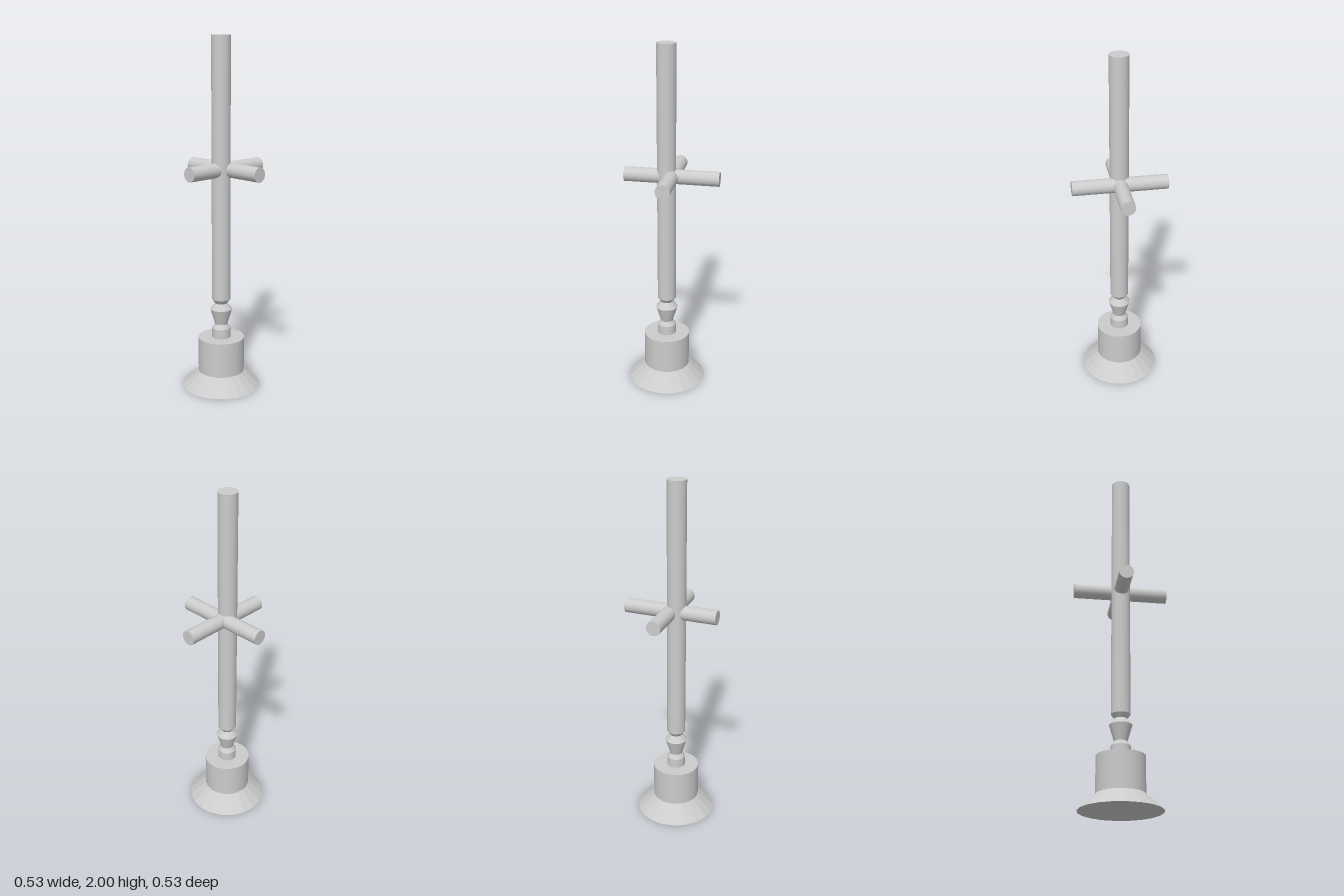
import * as THREE from 'three';

const smooth = new THREE.MeshStandardMaterial({ color: 0xcccccc });
const faceted = new THREE.MeshStandardMaterial({ color: 0xcccccc, flatShading: true });
const POLE_Z = 0.03;

export function createModel() {
  const model = new THREE.Group();

  // Upright section of the post, from y0 to y1, on the shared post axis
  function section(name, y0, r0, y1, r1, sides = 40, material = smooth, open = false) {
    const geometry = new THREE.CylinderGeometry(r1, r0, y1 - y0, sides, 1, open);
    const mesh = new THREE.Mesh(geometry, material);
    mesh.name = name;
    mesh.position.set(0, (y0 + y1) / 2, POLE_Z);
    model.add(mesh);
  }

  // Flared foot and drum
  section('flaredFoot', 0, 0.227, 0.088, 0.133, 20, faceted);
  section('baseDrum', 0.088, 0.133, 0.29, 0.133, 20);

  // Turned neck: collar, pinch, bulge, pinch, up to the pole (pairs of y, radius)
  const neck = [[0.29, 0.053], [0.345, 0.053], [0.37, 0.036], [0.46, 0.063], [0.495, 0.035], [0.52, 0.053]];
  for (let i = 0; i < neck.length - 1; i++) {
    section('neckSection' + (i + 1), ...neck[i], ...neck[i + 1], 40, smooth, true);
  }

  // Long pole
  section('pole', 0.52, 0.053, 2, 0.053);

  // Two crossing bars
  const bar = new THREE.CylinderGeometry(0.041, 0.041, 0.534, 32);
  const sideBar = new THREE.Mesh(bar, smooth);
  sideBar.name = 'sideCrossbar';
  sideBar.rotation.z = Math.PI / 2;
  const depthBar = new THREE.Mesh(bar, smooth);
  depthBar.name = 'depthCrossbar';
  depthBar.rotation.x = Math.PI / 2;
  for (const mesh of [sideBar, depthBar]) {
    mesh.position.y = 1.268;
    model.add(mesh);
  }

  return model;
}
